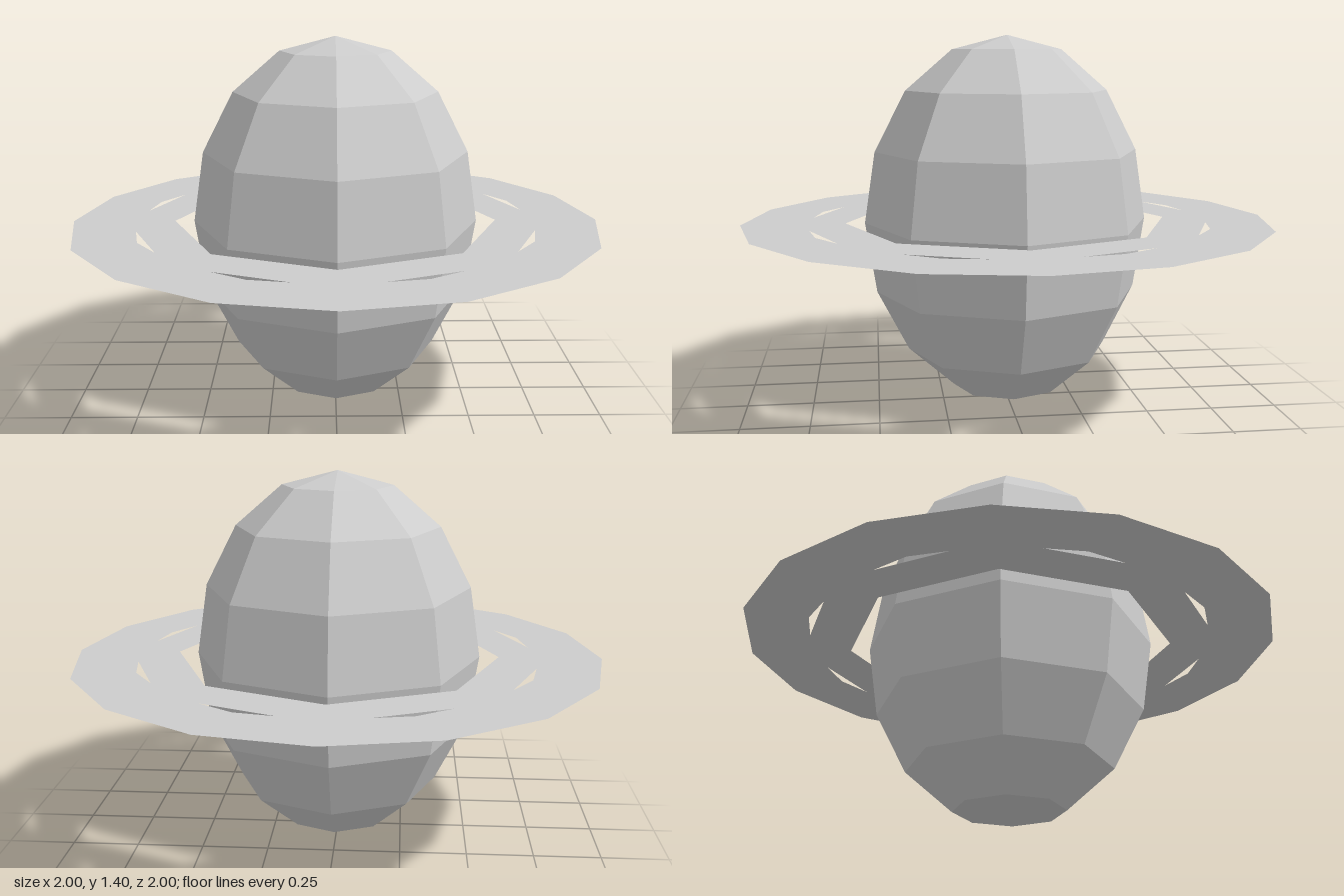
import * as THREE from 'three';

const MID_Y = 0.7;

// point on a circle of radius r, measured from the +y axis of the shape
const polar = (r, a) => new THREE.Vector2(r * Math.sin(a), r * Math.cos(a));
const polygon = (r, n) =>
  Array.from({ length: n }, (_, i) => polar(r, (i / n) * Math.PI * 2));

export function createModel() {
  const model = new THREE.Group();
  model.name = 'ringedPlanet';

  const grey = new THREE.MeshStandardMaterial({ color: 0xcccccc, flatShading: true });
  grey.name = 'planet grey';
  const ringGrey = grey.clone();
  ringGrey.name = 'ring grey';
  ringGrey.side = THREE.DoubleSide;

  // Faceted, upright egg-shaped planet
  const ball = new THREE.SphereGeometry(1, 8, 8).scale(0.54, 0.7, 0.54).toNonIndexed();
  ball.computeVertexNormals();
  const planet = new THREE.Mesh(ball, grey);
  planet.name = 'planet';
  planet.position.y = MID_Y;
  model.add(planet);

  // Flat 16-sided ring with an octagonal opening
  const shape = new THREE.Shape(polygon(1, 16));
  shape.holes.push(new THREE.Path(polygon(0.613, 8)));

  // Eight thin slits, one in the middle of each octagon side
  for (let i = 0; i < 8; i++) {
    const mid = ((i + 0.5) / 8) * Math.PI * 2;
    const half = 0.194;
    shape.holes.push(new THREE.Path([
      polar(0.753, mid - half), polar(0.768, mid), polar(0.753, mid + half),
    ]));
  }
  const ring = new THREE.Mesh(new THREE.ShapeGeometry(shape).rotateX(-Math.PI / 2), ringGrey);
  ring.name = 'ring';
  ring.position.y = MID_Y;
  model.add(ring);

  return model;
}
